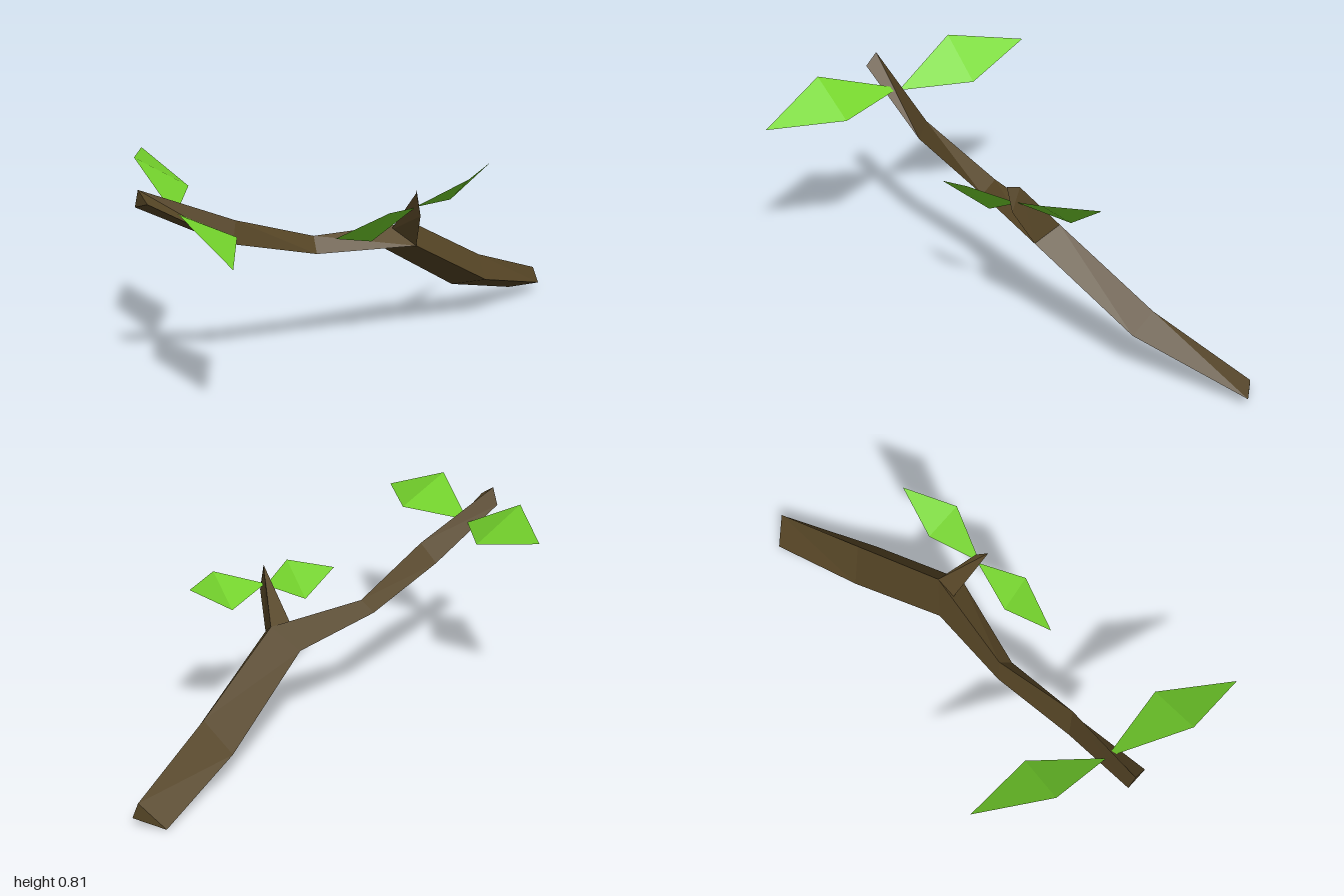
import * as THREE from 'three';

const bark = new THREE.MeshStandardMaterial({ name: 'barkBrown', color: 0x574626, flatShading: true });
const green = new THREE.MeshStandardMaterial({ name: 'leafGreen', color: 0x76d62d, flatShading: true, side: THREE.DoubleSide });

// Builds a faceted mesh from a list of triangle corners
function facets(name, corners, material) {
  const geometry = new THREE.BufferGeometry();
  geometry.setAttribute('position', new THREE.Float32BufferAttribute(corners.flat(), 3));
  geometry.computeVertexNormals();
  const mesh = new THREE.Mesh(geometry, material);
  mesh.name = name;
  return mesh;
}

// Joins triangular cross-sections into a closed limb
function limb(name, rings) {
  const tris = [...rings[0]];
  for (let i = 0; i < rings.length - 1; i++) {
    for (let k = 0; k < 3; k++) {
      const n = (k + 1) % 3;
      const a = rings[i][k], b = rings[i][n];
      const c = rings[i + 1][k], d = rings[i + 1][n];
      tris.push(a, c, b, b, c, d);
    }
  }
  tris.push(...[...rings[rings.length - 1]].reverse());
  return facets(name, tris, bark);
}

// A leaf is two triangles folded across its widest line
function leaf(name, base, sideA, tip, sideB) {
  return facets(name, [base, sideA, sideB, sideA, tip, sideB], green);
}

export function createModel() {
  const model = new THREE.Group();
  model.name = 'leafyBranch';

  // Main branch: each ring is ridge, front edge, back edge
  model.add(limb('mainBranch', [
    [[0.99, 0.10, 0.42], [0.995, 0.035, 0.445], [0.96, 0.0, 0.325]],
    [[0.60, 0.255, 0.38], [0.55, 0.175, 0.445], [0.565, 0.118, 0.28]],
    [[0.20, 0.48, 0.315], [0.13, 0.417, 0.38], [0.145, 0.375, 0.22]],
    [[-0.165, 0.484, 0.115], [-0.20, 0.43, 0.155], [-0.185, 0.43, 0.07]],
    [[-0.51, 0.615, 0.02], [-0.54, 0.535, 0.03], [-0.53, 0.53, -0.04]],
    [[-0.83, 0.775, -0.155], [-0.845, 0.735, -0.10], [-0.82, 0.705, -0.18]],
  ]));

  // Side twig rising from the fork
  model.add(limb('sideTwig', [
    [[0.20, 0.48, 0.315], [0.13, 0.417, 0.38], [0.12, 0.46, 0.27]],
    [[0.085, 0.652, 0.405], [0.068, 0.56, 0.435], [0.045, 0.655, 0.43]],
  ]));

  // Leaf pair near the end of the main branch
  model.add(leaf('endLeafFront', [-0.70, 0.668, -0.10], [-0.935, 0.76, 0.115], [-1.0, 0.64, 0.395], [-0.75, 0.652, 0.215]));
  model.add(leaf('endLeafBack', [-0.70, 0.657, -0.10], [-0.445, 0.682, -0.25], [-0.37, 0.767, -0.54], [-0.615, 0.81, -0.36]));

  // Leaf pair on the twig
  model.add(leaf('twigLeafRight', [0.075, 0.585, 0.405], [-0.085, 0.48, 0.32], [-0.29, 0.54, 0.30], [-0.12, 0.615, 0.42]));
  model.add(leaf('twigLeafLeft', [0.07, 0.59, 0.41], [0.235, 0.68, 0.54], [0.45, 0.695, 0.51], [0.295, 0.567, 0.425]));

  return model;
}
